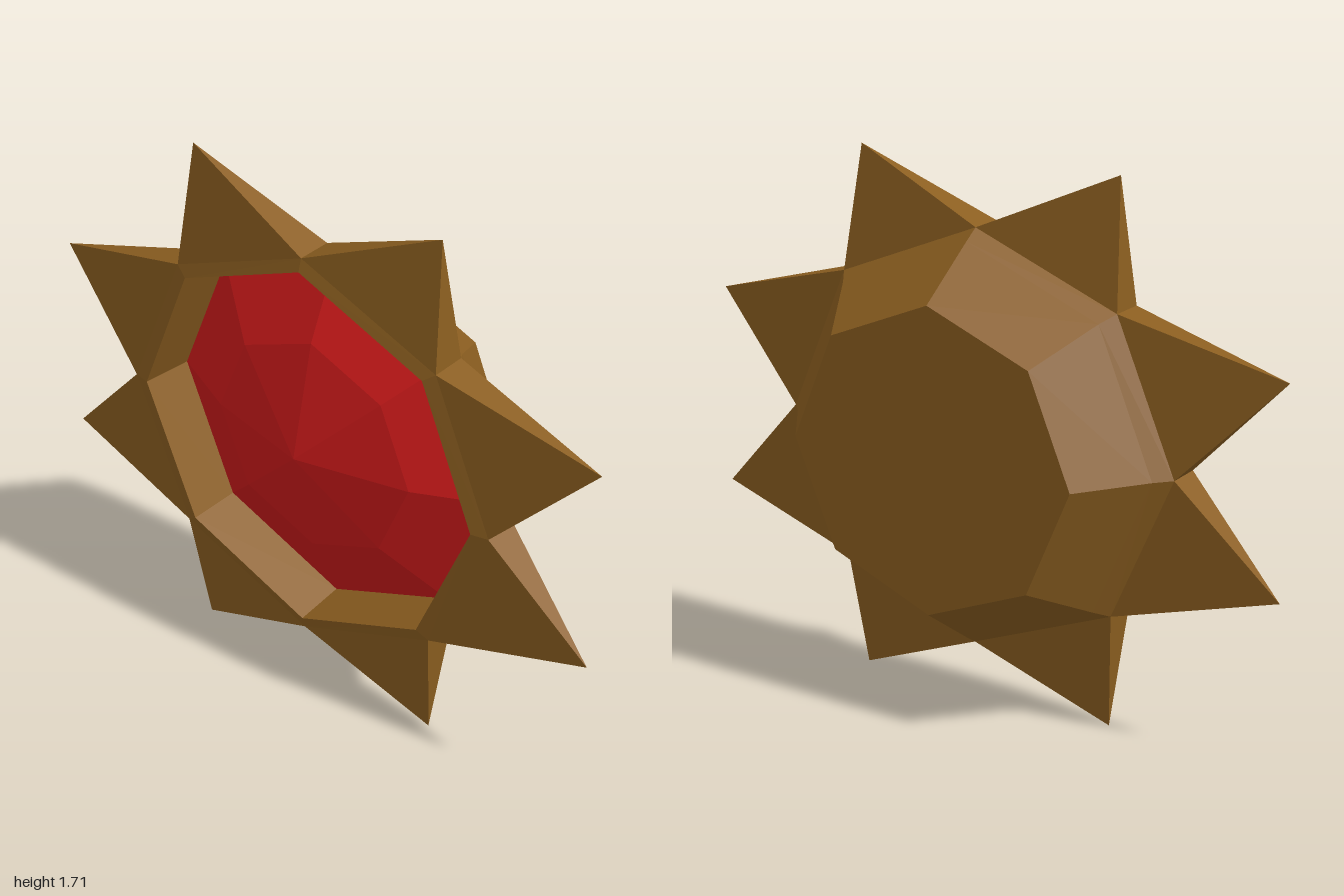
import * as THREE from 'three';

const SIDES = 8;
const CENTRE_Y = 0.855;

// Corner i of an octagonal ring [rx, ry, z], counter-clockwise seen from the front
function corner([rx, ry, z], i) {
  const a = (i / SIDES) * Math.PI * 2;
  return [rx * Math.cos(a), ry * Math.sin(a), z];
}

function facetedMesh(name, triangles, material) {
  const geometry = new THREE.BufferGeometry();
  geometry.setAttribute('position', new THREE.Float32BufferAttribute(triangles.flat(), 3));
  geometry.computeVertexNormals();
  const mesh = new THREE.Mesh(geometry, material);
  mesh.name = name;
  return mesh;
}

// Skin between successive octagonal rings; a zero radius closes the end
function loft(rings) {
  const triangles = [];
  for (let r = 0; r < rings.length - 1; r++) {
    for (let i = 0; i < SIDES; i++) {
      const a = corner(rings[r], i), b = corner(rings[r], i + 1);
      const c = corner(rings[r + 1], i + 1), d = corner(rings[r + 1], i);
      if (rings[r][0] > 0) triangles.push(...[a, b, c]);
      if (rings[r + 1][0] > 0) triangles.push(...[a, c, d]);
    }
  }
  return triangles;
}

export function createModel() {
  const model = new THREE.Group();
  model.name = 'spikedJewel';
  const bronze = new THREE.MeshStandardMaterial({ color: 0x8b5e20, flatShading: true });
  const red = new THREE.MeshStandardMaterial({ color: 0xcc1a1a, flatShading: true });
  const body = new THREE.Group();
  body.position.y = CENTRE_Y;
  model.add(body);

  const backEdge = [0.68, 0.66, 0.05];
  const frontEdge = [0.68, 0.66, 0.165];

  // Tapered octagonal cup behind the star
  body.add(facetedMesh('backCup', loft([
    [0, 0, -0.21], [0.485, 0.48, -0.21], [0.635, 0.627, 0], backEdge,
  ]), bronze));

  // Raised rim and the inner wall of the setting
  body.add(facetedMesh('rim', loft([
    frontEdge, [0.626, 0.62, 0.177], [0.61, 0.605, 0.01],
  ]), bronze));

  // Faceted gem
  body.add(facetedMesh('gem', loft([
    [0.61, 0.605, 0.01], [0.365, 0.36, 0.125], [0, 0, 0.21],
  ]), red));

  // Eight spikes, each a four-sided pyramid on one edge of the octagon
  const spikes = new THREE.Group();
  spikes.name = 'spikes';
  for (let i = 0; i < SIDES; i++) {
    const a = ((i + 0.5) / SIDES) * Math.PI * 2;
    const sx = Math.sign(Math.cos(a)), sy = Math.sign(Math.sin(a));
    const wide = Math.abs(Math.cos(a)) > Math.abs(Math.sin(a));
    const tip = wide ? [sx, sy * 0.33, 0.11] : [sx * 0.45, sy * 0.855, 0.11];
    const base = [
      corner(frontEdge, i), corner(backEdge, i),
      corner(backEdge, i + 1), corner(frontEdge, i + 1),
    ];
    const triangles = [];
    base.forEach((p, k) => triangles.push(p, base[(k + 1) % 4], tip));
    spikes.add(facetedMesh('spike', triangles, bronze));
  }
  body.add(spikes);

  return model;
}
